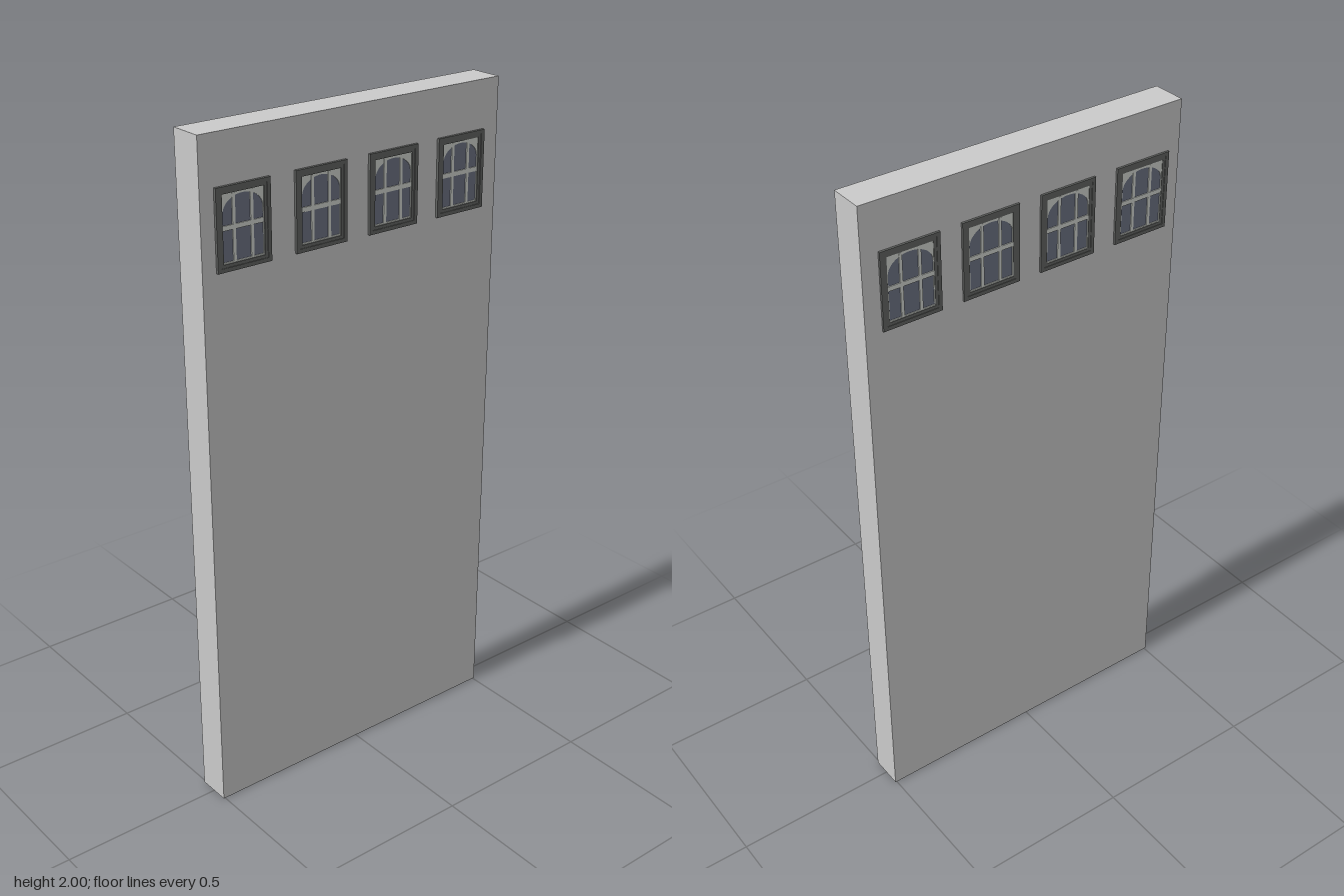
import * as THREE from 'three';

const slabMat = new THREE.MeshStandardMaterial({ color: 0xcacaca });
slabMat.name = 'doorGrey';
const frameMat = new THREE.MeshStandardMaterial({ color: 0x626462 });
frameMat.name = 'frameDarkGrey';
const trimMat = new THREE.MeshStandardMaterial({ color: 0xd2d6d0 });
trimMat.name = 'trimOffWhite';
const glassMat = new THREE.MeshStandardMaterial({ color: 0x6d7384 });
glassMat.name = 'glassSlate';

function add(parent, geometry, material, name, x = 0, y = 0, z = 0) {
  const mesh = new THREE.Mesh(geometry, material);
  mesh.name = name;
  mesh.position.set(x, y, z);
  parent.add(mesh);
  return mesh;
}

// Closed rectangle centred on the origin
function rectangle(w, h, Type = THREE.Shape) {
  const s = new Type();
  s.moveTo(-w / 2, -h / 2);
  s.lineTo(w / 2, -h / 2);
  s.lineTo(w / 2, h / 2);
  s.lineTo(-w / 2, h / 2);
  s.closePath();
  return s;
}

function ring(w, h, border, depth) {
  const s = rectangle(w, h);
  s.holes.push(rectangle(w - 2 * border, h - 2 * border, THREE.Path));
  return new THREE.ExtrudeGeometry(s, { depth, bevelEnabled: false });
}

// One window facing +z, with its back at z = 0
function makeWindow(w, h, depth) {
  const g = new THREE.Group();
  g.name = 'window';
  const iw = w - 0.036, ih = h - 0.036;

  // Stepped dark frame
  add(g, ring(w, h, 0.011, depth), frameMat, 'outerFrame');
  add(g, ring(w - 0.02, h - 0.02, 0.01, depth * 0.75), frameMat, 'innerFrame');

  // Glass behind the trim
  add(g, new THREE.BoxGeometry(iw, ih, 0.0015), glassMat, 'glass', 0, 0, 0.00075);

  // Pale surround with an arched opening
  const surround = rectangle(iw, ih);
  const rx = iw / 2 - 0.004, bottom = -ih / 2 + 0.006, spring = ih / 2 - 0.056;
  const arch = new THREE.Path();
  arch.moveTo(-rx, bottom);
  arch.lineTo(rx, bottom);
  arch.lineTo(rx, spring);
  arch.absellipse(0, spring, rx, 0.048, 0, Math.PI, false);
  arch.closePath();
  surround.holes.push(arch);
  add(g, new THREE.ExtrudeGeometry(surround, { depth: 0.0035, bevelEnabled: false, curveSegments: 16 }),
    trimMat, 'archSurround');

  // Glazing bars
  for (const x of [-0.028, 0.028]) {
    add(g, new THREE.BoxGeometry(0.009, ih - 0.008, 0.004), trimMat, 'verticalBar', x, 0, 0.002);
  }
  add(g, new THREE.BoxGeometry(iw - 0.004, 0.013, 0.0042), trimMat, 'horizontalBar', 0, 0.002, 0.0021);
  return g;
}

export function createModel() {
  const model = new THREE.Group();
  model.name = 'doorPanel';

  // Main slab
  add(model, new THREE.BoxGeometry(0.102, 2, 1.01), slabMat, 'slab', -0.001, 1, 0);

  // A row of four windows on each broad face
  const centres = [0.377, 0.126, -0.121, -0.366];
  for (const side of [1, -1]) {
    const row = new THREE.Group();
    row.name = side > 0 ? 'leftWindows' : 'rightWindows';
    for (const z of centres) {
      const win = side > 0 ? makeWindow(0.17, 0.225, 0.0085) : makeWindow(0.178, 0.227, 0.0065);
      win.rotation.y = side * Math.PI / 2;
      win.position.set(side > 0 ? 0.05 : -0.052, 1.748, z);
      row.add(win);
    }
    model.add(row);
  }
  return model;
}
